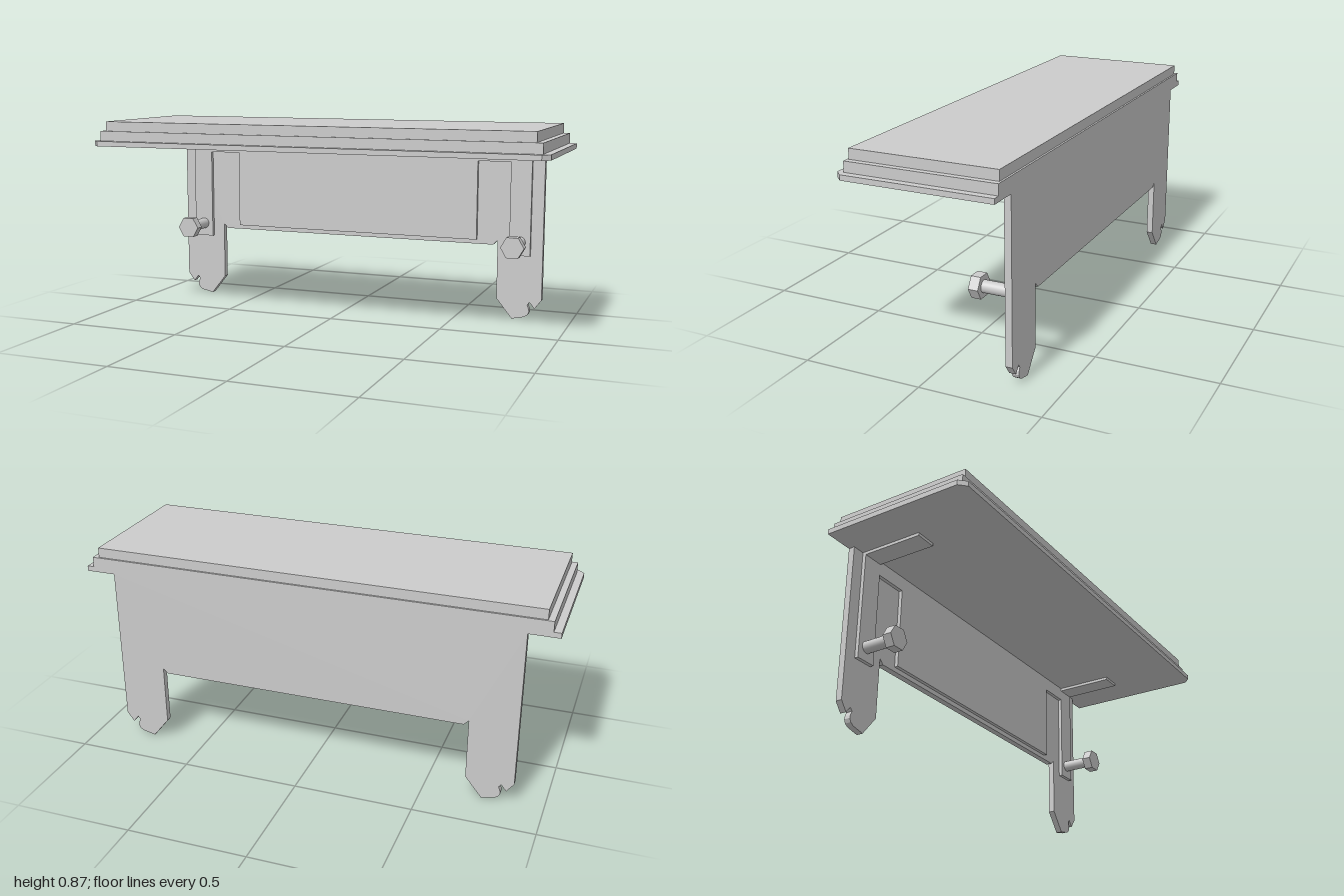
import * as THREE from 'three';

export function createModel() {
  const root = new THREE.Group();
  const mat = new THREE.MeshStandardMaterial({ color: 0xcccccc });

  function add(name, geo, parent = root) {
    const mesh = new THREE.Mesh(geo, mat);
    mesh.name = name;
    parent.add(mesh);
    return mesh;
  }
  // Box given by its minimum and maximum on each axis
  function box(name, x0, x1, y0, y1, z0, z1, parent) {
    const mesh = add(name, new THREE.BoxGeometry(x1 - x0, y1 - y0, z1 - z0), parent);
    mesh.position.set((x0 + x1) / 2, (y0 + y1) / 2, (z0 + z1) / 2);
    return mesh;
  }
  const extrude = (shape, depth) =>
    new THREE.ExtrudeGeometry(shape, { depth, bevelEnabled: false, curveSegments: 8 });
  const toShape = (pts) => new THREE.Shape(pts.map(([x, y]) => new THREE.Vector2(x, y)));

  // Stepped top: lower board with clipped front corners, then two smaller slabs
  const board = extrude(toShape([
    [-1, 0.325], [-1, -0.295], [-0.97, -0.325], [0.97, -0.325], [1, -0.295], [1, 0.325],
  ]), 0.022);
  board.rotateX(-Math.PI / 2);
  add('lowerBoard', board).position.y = 0.763;
  box('middleSlab', -0.97, 0.97, 0.785, 0.828, -0.325, 0.297);
  box('topSlab', -0.945, 0.945, 0.828, 0.87, -0.317, 0.29);

  // Back plate with two legs: half outline from the centre to the outer top
  const half = [
    [0.655, 0.33], [0.675, 0.35], [0.675, 0.09], [0.745, 0.003],
    [0.80, 0.015], [0.815, 0.025], [0.822, 0.04], [0.82, 0.052], [0.813, 0.07],
    [0.823, 0.083], [0.845, 0.055], [0.875, 0.095], [0.875, 0.763],
  ];
  const mirrored = half.map(([x, y]) => [-x, y]).reverse();
  const plate = extrude(toShape([...mirrored, ...half]), 0.028);
  add('backPlate', plate).position.z = -0.325;

  // Thin panel on the front of the back plate
  box('frontPanel', -0.583, 0.583, 0.35, 0.763, -0.297, -0.281);

  // Angle brackets and hexagonal bolts, one per side
  for (const [side, s] of [['left', 1], ['right', -1]]) {
    const g = new THREE.Group();
    g.name = side + 'Bracket';
    root.add(g);
    const span = (a, b) => (s > 0 ? [a, b] : [-b, -a]);
    box('bracketUpright', ...span(0.73, 0.822), 0.29, 0.763, -0.297, -0.281, g);
    box('bracketArm', ...span(0.583, 0.73), 0.70, 0.763, -0.297, -0.281, g);
    box('bracketShelf', ...span(0.73, 0.822), 0.75, 0.763, -0.281, -0.015, g);

    const shaft = new THREE.CylinderGeometry(0.025, 0.025, 0.121, 32);
    shaft.rotateX(Math.PI / 2);
    add('boltShaft', shaft, g).position.set(s * 0.776, 0.35, -0.2205);

    const hex = toShape([0, 1, 2, 3, 4, 5].map((i) => [
      0.051 * Math.cos(i * Math.PI / 3), 0.051 * Math.sin(i * Math.PI / 3),
    ]));
    add('boltHead', extrude(hex, 0.04), g).position.set(s * 0.776, 0.35, -0.161);
  }
  return root;
}
